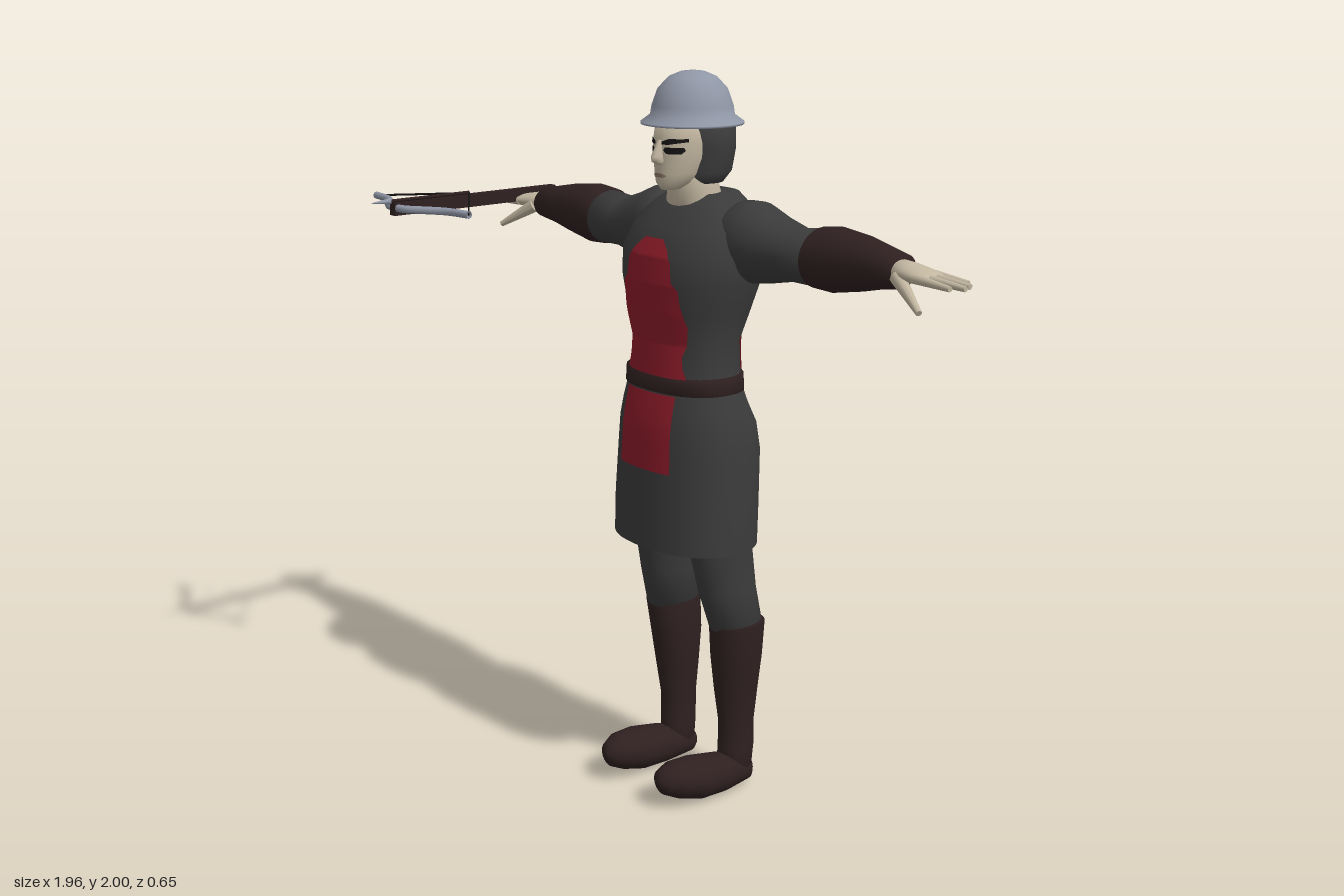
import * as THREE from 'three';

const mat = (name, color, side = THREE.FrontSide) => {
  const m = new THREE.MeshStandardMaterial({ color, side });
  m.name = name;
  return m;
};
const V = (x, y, z) => new THREE.Vector3(x, y, z);
const POWER = 2.3;

// Skin over elliptical rings [t, c1, c2, r1, r2] stacked along an axis, closed at both ends
function loft(rings, axis = 'y', power = 2, caps = true, n = 32) {
  const pos = [], idx = [];
  const put = (t, a, b) => pos.push(...(axis === 'y' ? [a, t, b] : axis === 'x' ? [t, a, b] : [a, b, t]));
  const tri = (a, b, c) => (axis === 'y' ? idx.push(a, b, c) : idx.push(a, c, b));
  const bend = (v) => Math.sign(v) * Math.abs(v) ** (2 / power);
  for (const [t, c1, c2, r1, r2] of rings)
    for (let j = 0; j < n; j++) {
      const a = (j / n) * Math.PI * 2;
      put(t, c1 + r1 * bend(Math.cos(a)), c2 + r2 * bend(Math.sin(a)));
    }
  for (let i = 0; i < rings.length - 1; i++)
    for (let j = 0; j < n; j++) {
      const a = i * n + j, b = i * n + (j + 1) % n;
      tri(a, a + n, b);
      tri(b, a + n, b + n);
    }
  if (caps) {
    const s = rings.length * n, last = s - n, end = rings[rings.length - 1];
    put(rings[0][0], rings[0][1], rings[0][2]);
    put(end[0], end[1], end[2]);
    for (let j = 0; j < n; j++) {
      tri(s, j, (j + 1) % n);
      tri(s + 1, last + (j + 1) % n, last + j);
    }
  }
  return finish(pos, idx);
}

function finish(pos, idx) {
  const g = new THREE.BufferGeometry();
  g.setAttribute('position', new THREE.Float32BufferAttribute(pos, 3));
  g.setIndex(idx);
  g.computeVertexNormals();
  return g;
}

// Thin panel following the front (+1) or back (-1) of a loft; rows are [y, x0, x1]
function panel(rings, rows, sign, power = POWER, lift = 0.006) {
  const pos = [], idx = [], nx = 12, sub = 6;
  const mix = (list, k, f) => list[k].map((v, i) => v + (list[k + 1][i] - v) * f);
  const steps = (rows.length - 1) * sub;
  for (let s = 0; s <= steps; s++) {
    const k = Math.min(Math.floor(s / sub), rows.length - 2);
    const [y, x0, x1] = mix(rows, k, s / sub - k);
    let r = 0;
    while (r < rings.length - 2 && rings[r + 1][0] < y) r++;
    const f = (y - rings[r][0]) / (rings[r + 1][0] - rings[r][0]);
    const [, , cz, rx, rz] = mix(rings, r, f);
    for (let i = 0; i <= nx; i++) {
      const x = sign > 0 ? x0 + (x1 - x0) * i / nx : x1 + (x0 - x1) * i / nx;
      const d = Math.max(0, 1 - Math.abs(x / rx) ** power) ** (1 / power);
      pos.push(x, y, cz + sign * (rz * d + lift));
    }
  }
  for (let s = 0; s < steps; s++)
    for (let i = 0; i < nx; i++) {
      const a = s * (nx + 1) + i, b = a + nx + 1;
      idx.push(a, a + 1, b, a + 1, b + 1, b);
    }
  return finish(pos, idx);
}

// Tapered rod between two points
function rod(a, b, ra, rb = ra, n = 10) {
  const d = b.clone().sub(a);
  const g = new THREE.CylinderGeometry(rb, ra, d.length(), n);
  g.applyQuaternion(new THREE.Quaternion().setFromUnitVectors(V(0, 1, 0), d.normalize()));
  const m = a.clone().add(b).multiplyScalar(0.5);
  return g.translate(m.x, m.y, m.z);
}

function mirrored(geo) {
  const g = geo.clone().scale(-1, 1, 1), i = g.index.array;
  for (let k = 0; k < i.length; k += 3) [i[k], i[k + 1]] = [i[k + 1], i[k]];
  g.computeVertexNormals();
  return g;
}

export function createModel() {
  const cloth = mat('charcoal cloth', 0x3b3b3b, THREE.DoubleSide);
  const leather = mat('dark leather', 0x2f2020);
  const red = mat('red cloth', 0x8c1b29, THREE.DoubleSide);
  const steel = mat('steel', 0x8f96a5, THREE.DoubleSide);
  const skin = mat('skin', 0xc2b6a0);
  const dark = mat('black', 0x151313);
  const lips = mat('lips', 0x8f7868);

  const model = new THREE.Group(), body = new THREE.Group();
  body.name = 'body';
  body.position.x = 0.053;
  model.add(body);
  const add = (name, geo, material, parent = body) => {
    const m = new THREE.Mesh(geo, material);
    m.name = name;
    parent.add(m);
  };
  const pair = (name, geo, material) => {
    add(name + 'Left', geo, material);
    add(name + 'Right', mirrored(geo), material);
  };

  // Tunic
  const torso = [
    [1.16, 0, -0.14, 0.172, 0.12], [1.21, 0, -0.142, 0.166, 0.12], [1.30, 0, -0.145, 0.16, 0.115],
    [1.38, 0, -0.152, 0.18, 0.138], [1.46, 0, -0.16, 0.203, 0.153], [1.53, 0, -0.166, 0.212, 0.152],
    [1.60, 0, -0.185, 0.195, 0.134], [1.65, 0, -0.20, 0.15, 0.102], [1.685, 0, -0.208, 0.1, 0.072],
  ];
  const skirt = [
    [0.735, 0, -0.147, 0.218, 0.161], [0.85, 0, -0.15, 0.217, 0.162], [1.0, 0, -0.157, 0.211, 0.161],
    [1.07, 0, -0.153, 0.202, 0.155], [1.12, 0, -0.145, 0.19, 0.138], [1.175, 0, -0.14, 0.174, 0.121],
  ];
  add('tunic', loft(torso, 'y', POWER), cloth);
  add('skirt', loft(skirt, 'y', POWER, false, 48), cloth);
  add('belt', loft([
    [1.165, 0, -0.14, 0.165, 0.11], [1.168, 0, -0.14, 0.181, 0.128],
    [1.21, 0, -0.14, 0.177, 0.128], [1.214, 0, -0.14, 0.16, 0.11],
  ], 'y', POWER), leather);

  // Red panels
  const even = (y, w) => [y, -w, w];
  add('chestPanel', panel(torso, [
    even(1.21, 0.118), even(1.24, 0.106), even(1.27, 0.102), even(1.30, 0.112), even(1.35, 0.122),
    even(1.41, 0.11), even(1.45, 0.108), even(1.47, 0.088), even(1.52, 0.082), even(1.55, 0.062),
    even(1.575, 0.035),
  ], 1), red);
  add('backPanel', panel(torso, [even(1.21, 0.115), even(1.4, 0.11), even(1.64, 0.11)], -1), red);
  add('frontApron', panel(skirt, [even(0.955, 0.1), even(1.165, 0.095)], 1), red);
  add('backApron', panel(skirt, [
    [0.96, -0.06, 0.1], [0.99, -0.09, 0.11], [1.05, -0.105, 0.105], [1.165, -0.11, 0.11],
  ], -1), red);

  // Arms
  pair('sleeve', loft([
    [0.09, 1.56, -0.213, 0.075, 0.08], [0.15, 1.572, -0.215, 0.102, 0.1], [0.20, 1.568, -0.218, 0.107, 0.1],
    [0.26, 1.56, -0.22, 0.09, 0.094], [0.34, 1.555, -0.225, 0.069, 0.085], [0.44, 1.56, -0.225, 0.075, 0.083],
  ], 'x'), cloth);
  pair('forearmGuard', loft([
    [0.42, 1.56, -0.225, 0.07, 0.08], [0.425, 1.56, -0.225, 0.078, 0.086], [0.48, 1.562, -0.224, 0.083, 0.08],
    [0.57, 1.566, -0.222, 0.07, 0.068], [0.64, 1.568, -0.218, 0.055, 0.056], [0.705, 1.567, -0.214, 0.043, 0.049],
  ], 'x'), leather);

  // Hands
  pair('palm', loft([
    [0.69, 1.57, -0.212, 0.028, 0.035], [0.74, 1.57, -0.208, 0.024, 0.044],
    [0.79, 1.567, -0.205, 0.018, 0.047], [0.815, 1.566, -0.205, 0.01, 0.042],
  ], 'x'), skin);
  [[-0.24, -0.25, 0.88], [-0.217, -0.222, 0.91], [-0.194, -0.192, 0.922], [-0.171, -0.163, 0.9]].forEach(([z0, z1, x], i) =>
    pair('finger' + (i + 1), rod(V(0.78, 1.567, z0), V(x, 1.56, z1), 0.013, 0.007), skin));
  pair('thumb', rod(V(0.72, 1.56, -0.18), V(0.83, 1.495, -0.138), 0.02, 0.008), skin);

  // Legs and boots
  pair('leg', loft([
    [0.48, 0.134, -0.222, 0.064, 0.08], [0.6, 0.122, -0.195, 0.068, 0.088],
    [0.72, 0.114, -0.176, 0.08, 0.092], [1.0, 0.1, -0.16, 0.09, 0.1],
  ]), cloth);
  pair('boot', loft([
    [0.03, 0.122, -0.228, 0.045, 0.053], [0.12, 0.124, -0.235, 0.045, 0.055], [0.2, 0.124, -0.235, 0.044, 0.055],
    [0.3, 0.125, -0.231, 0.056, 0.066], [0.4, 0.128, -0.228, 0.066, 0.077], [0.5, 0.135, -0.222, 0.069, 0.084],
    [0.507, 0.135, -0.222, 0.06, 0.075],
  ]), leather);
  pair('shoe', loft([
    [-0.287, 0.12, 0.04, 0.022, 0.025], [-0.265, 0.122, 0.045, 0.042, 0.04], [-0.17, 0.126, 0.056, 0.06, 0.056],
    [-0.08, 0.125, 0.066, 0.067, 0.062], [-0.01, 0.12, 0.077, 0.056, 0.053], [0.03, 0.116, 0.08, 0.036, 0.036],
    [0.045, 0.115, 0.08, 0.012, 0.012],
  ], 'z'), leather);

  // Head
  const face = [
    [1.698, 0, -0.088, 0.022, 0.03], [1.715, 0, -0.105, 0.045, 0.057], [1.74, 0, -0.12, 0.06, 0.073],
    [1.78, 0, -0.13, 0.071, 0.082], [1.82, 0, -0.135, 0.075, 0.089], [1.88, 0, -0.145, 0.075, 0.09],
  ];
  add('neck', loft([
    [1.6, 0, -0.19, 0.085, 0.07], [1.66, 0, -0.172, 0.078, 0.074], [1.7, 0, -0.165, 0.07, 0.068],
    [1.76, 0, -0.16, 0.068, 0.065],
  ]), skin);
  add('face', loft(face), skin);
  add('nose', loft([
    [1.764, 0, -0.052, 0.008, 0.01], [1.772, 0, -0.045, 0.015, 0.02],
    [1.785, 0, -0.043, 0.013, 0.022], [1.828, 0, -0.05, 0.008, 0.006],
  ]), skin);
  add('mouth', panel(face, [even(1.731, 0.016), even(1.736, 0.024), even(1.742, 0.012)], 1, 2, 0.003), lips);
  pair('eye', panel(face, [[1.793, 0.026, 0.056], [1.802, 0.016, 0.062], [1.81, 0.022, 0.06]], 1, 2, 0.003), dark);
  pair('eyebrow', panel(face, [[1.817, 0.012, 0.03], [1.824, 0.012, 0.066], [1.832, 0.03, 0.066]], 1, 2, 0.003), dark);
  add('coif', loft([
    [1.712, 0, -0.175, 0.074, 0.07], [1.74, 0, -0.185, 0.089, 0.084],
    [1.8, 0, -0.19, 0.097, 0.089], [1.88, 0, -0.18, 0.1, 0.098],
  ]), cloth);
  const dome = [[0.1, 1.875], [0.135, 1.862], [0.136, 1.868], [0.111, 1.886], [0.107, 1.91],
    [0.092, 1.952], [0.063, 1.983], [0.032, 1.996], [0, 2]];
  add('helmet', new THREE.LatheGeometry(dome.map(([x, y]) => new THREE.Vector2(x, y)), 40).translate(0, 0, -0.16), steel);

  // Quiver on the right hip
  add('quiver', rod(V(-0.228, 0.925, -0.23), V(-0.22, 1.19, -0.22), 0.02, 0.041, 16), leather);
  for (let i = 0; i < 3; i++) {
    const x = -0.23 + i * 0.016, z = -0.23 + (i % 2) * 0.025;
    add('arrow' + (i + 1), rod(V(x, 1.15, z), V(x, 1.275, z), 0.005, 0.005, 6), dark);
  }

  // Crossbow in the right hand
  const bow = new THREE.Group();
  bow.name = 'crossbow';
  bow.position.set(-0.746, 1.585, 0);
  model.add(bow);
  add('stock', new THREE.BoxGeometry(0.026, 0.036, 0.57).translate(0, -0.003, -0.022), leather, bow);
  const limb = [[-0.238, 0.165], [-0.15, 0.18], [-0.09, 0.215], [-0.045, 0.245], [0, 0.252],
    [0.045, 0.245], [0.09, 0.215], [0.15, 0.18], [0.238, 0.165]];
  add('bowLimbs', new THREE.TubeGeometry(
    new THREE.CatmullRomCurve3(limb.map(([x, z]) => V(x, 0, z))), 48, 0.011, 8), steel, bow);
  for (const s of [-1, 1])
    add('bowString', rod(V(s * 0.236, 0, 0.165), V(0, 0.018, 0), 0.003, 0.003, 6), dark, bow);
  add('bolt', rod(V(0, 0.02, 0), V(0, 0.02, 0.28), 0.005, 0.005, 8), leather, bow);
  add('boltHead', rod(V(0, 0.02, 0.27), V(0, 0.02, 0.33), 0.009, 0.001, 8), steel, bow);

  return model;
}
